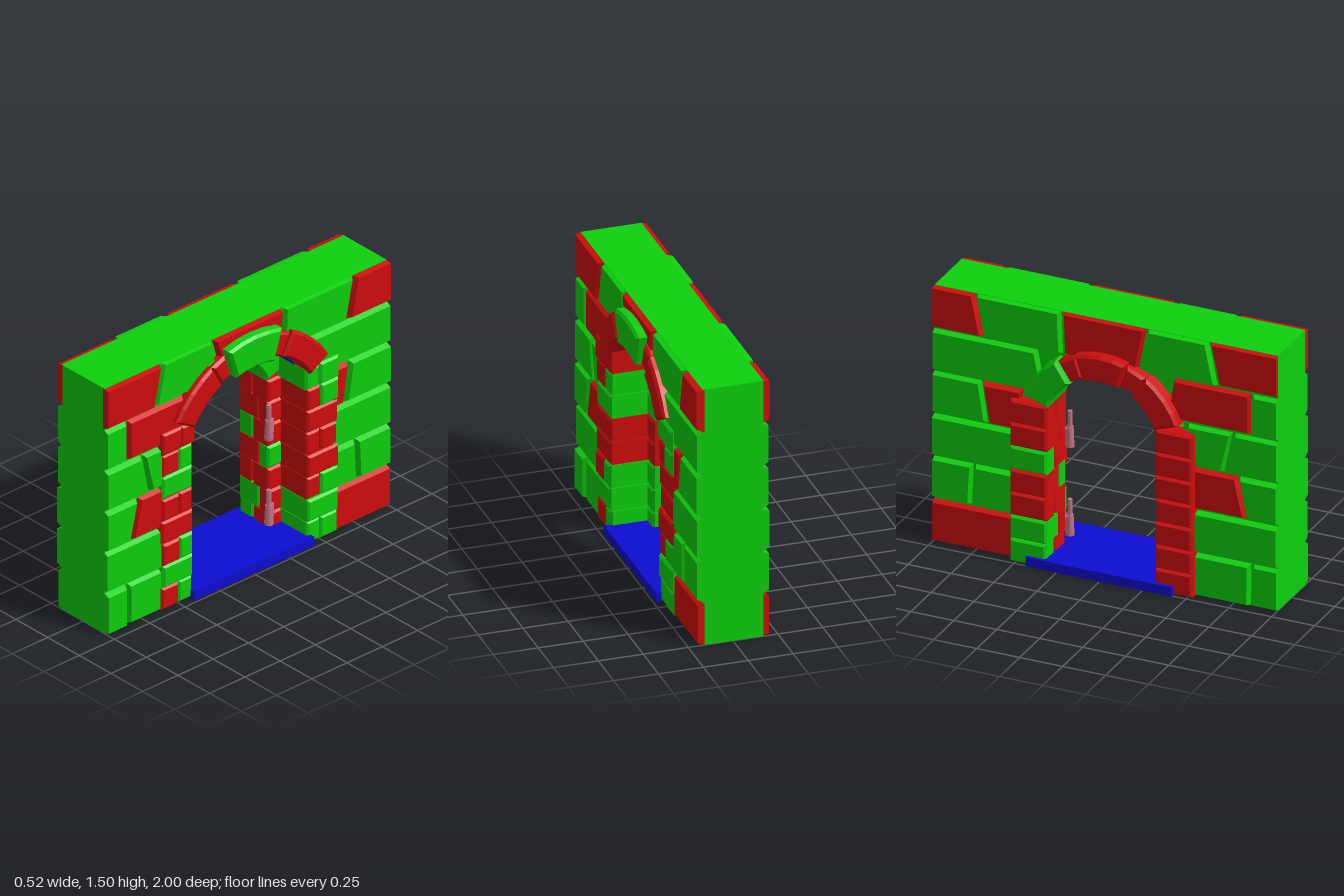
import * as THREE from 'three';

const mat = (name, color) => {
  const m = new THREE.MeshStandardMaterial({ color });
  m.name = name;
  return m;
};

export function createModel() {
  const model = new THREE.Group();
  model.name = 'archedGateWall';
  const M = {
    g: mat('greenStone', 0x0dd00d),
    r: mat('redStone', 0xd00d0d),
    b: mat('blueSlab', 0x0d0dd0),
    p: mat('pinkHinge', 0xc47484),
  };
  let seed = 7;
  const rand = () => (seed = (seed * 16807) % 2147483647) / 2147483647;

  const add = (parent, name, geo, key) => {
    const mesh = new THREE.Mesh(geo, M[key]);
    mesh.name = name;
    parent.add(mesh);
    return mesh;
  };
  const group = (name) => {
    const g = new THREE.Group();
    g.name = name;
    model.add(g);
    return g;
  };

  // Extrudes [z, y] points from x0 to x1, with chamfered edges
  const prism = (pts, x0, x1, bevel = 0.012) => {
    const shape = new THREE.Shape(pts.map(([z, y]) => new THREE.Vector2(-z, y)));
    const geo = new THREE.ExtrudeGeometry(shape, {
      depth: x1 - x0 - 2 * bevel, bevelEnabled: bevel > 0, bevelSegments: 1,
      bevelSize: bevel, bevelOffset: -bevel, bevelThickness: bevel,
    });
    return geo.translate(0, 0, x0 + bevel).rotateY(Math.PI / 2);
  };
  const rect = (z0, z1, y0, y1) => [[z0, y0], [z1, y0], [z1, y1], [z0, y1]];

  // Ring sector: degrees from vertical towards +z, around height cy
  const sector = (cy, r0, r1, a0, a1, n = 4) => {
    const pts = [];
    const at = (r, t) => {
      const a = THREE.MathUtils.degToRad(a0 + (a1 - a0) * t);
      pts.push([r * Math.sin(a), cy + r * Math.cos(a)]);
    };
    for (let i = 0; i <= n; i++) at(r0, i / n);
    for (let i = n; i >= 0; i--) at(r1, i / n);
    return pts;
  };

  // Wall core with the doorway cut out
  const arc = sector(0.83, 0.48, 0.48, -69, 69, 12).slice(0, 13);
  add(model, 'wallCore', prism([
    [-1, 0], [-0.45, 0], ...arc, [0.45, 0], [1, 0], [1, 1.5], [-1, 1.5],
  ], -0.17, 0.17, 0), 'g');

  // Face block: the outer side is inset to form grooves; inner joints lean a little
  const lean = (z) => (Math.abs(z) > 0.99 ? 0 : 0.025 * Math.sin(z * 37));
  const faceBlock = (parent, side, z0, z1, y0, y1, key) => {
    const out = 0.193 + rand() * 0.012;
    const geo = new THREE.BoxGeometry(1, 1, 1).toNonIndexed();
    const p = geo.attributes.position;
    for (let i = 0; i < p.count; i++) {
      const outer = p.getX(i) * side > 0, zHi = p.getZ(i) > 0, yHi = p.getY(i) > 0;
      const z = zHi ? z1 : z0;
      const inset = outer ? 0.02 : 0.002;
      const zi = Math.abs(z) > 0.99 ? 0 : inset;
      const yi = (yHi && y1 > 1.49) ? inset * 0.4 : (!yHi && y0 < 0.01) ? inset * 0.6 : inset;
      p.setXYZ(i, side * (outer ? out : 0.16),
        yHi ? y1 - (outer ? yi : 0) : y0 + (outer ? yi : 0),
        z + (zHi ? -zi : zi) + (yHi ? 1 : -1) * lean(z));
    }
    geo.computeVertexNormals();
    add(parent, 'faceBlock', geo, key);
  };

  // Courses from the ground up: [z0, z1, colour]; 'e' marks the doorway edge
  const courses = [
    [['e', 0.85, 'g'], [0.85, 1, 'g'], [-1, 'e', 'r']],
    [['e', 1, 'g'], [-0.77, 'e', 'g'], [-1, -0.77, 'g']],
    [['e', 0.8, 'r'], [0.8, 1, 'g'], [-1, 'e', 'g']],
    [['e', 0.72, 'g'], [0.72, 1, 'g'], [-0.7, 'e', 'r'], [-1, -0.7, 'g']],
    [['e', 0.85, 'r'], [0.85, 1, 'g'], [-1, 'e', 'g']],
    [[0.63, 1, 'r'], [0.22, 0.63, 'g'], [-0.25, 0.22, 'r'], [-0.73, -0.25, 'g'], [-1, -0.73, 'r']],
  ];
  for (const side of [1, -1]) {
    const face = group(side > 0 ? 'leftFace' : 'rightFace');
    courses.forEach((row, i) => {
      const edge = i === 4 ? (side > 0 ? 0.46 : 0.37) : (side > 0 ? 0.58 : 0.49);
      for (const [a, b, key] of row) {
        const low = side > 0 && a === -0.25 ? 1.33 : i * 0.25;
        faceBlock(face, side, a === 'e' ? edge : a, b === 'e' ? -edge : b, low, (i + 1) * 0.25, key);
      }
    });
  }

  // Stepped jambs; per row: outer stone(s) A and B, rebate stone C, far face stone D
  const jambs = {
    1: ['rggr', 'g-gr', 'rggr', 'r-rr', 'rrrr', 'g-gr', 'rggr'],
    [-1]: ['ggrg', 'g-rg', 'grrr', 'r-gr', 'rrrg', 'r-rr', 'grrr'],
  };
  const rowH = 0.95 / 7;
  for (const s of [1, -1]) {
    const jamb = group(s > 0 ? 'frontJamb' : 'backJamb');
    const stone = (za, zb, y0, y1, x0, x1, key) =>
      add(jamb, 'jambStone', prism(rect(...(s > 0 ? [za, zb] : [-zb, -za]), y0, y1), x0, x1), key);
    jambs[s].forEach((code, i) => {
      const y0 = i * rowH + 0.003, y1 = (i + 1) * rowH;
      const [A, B, C, D] = code;
      const x1 = 0.205 + rand() * 0.012, xm = i % 2 ? -0.08 : -0.13;
      const zIn = 0.31 + rand() * 0.008, zOut = 0.615 + rand() * 0.012;
      if (B === '-') stone(0.405, zOut, y0, y1, -0.02, x1, A);
      else {
        stone(0.5, zOut, y0, y1, 0.05, x1, A);
        stone(0.405, 0.5, y0, y1, -0.02, x1 - 0.004, B);
      }
      stone(zIn, 0.5, y0, y1, xm, 0, C);
      stone(zIn + 0.003, 0.53, y0, y1, -0.24, xm, D);
    });
    // Springer under the outer arch
    const key = s > 0 ? 'r' : 'g';
    stone(0.49, 0.625, 0.952, 1.085, 0.03, 0.218, key);
    stone(0.39, 0.49, 0.952, 1.08, -0.02, 0.214, key);
  }

  // Arch rings: [from, to, inner radius, outer radius, outermost x, colour]
  const outerArch = group('outerArch');
  for (const [a, b, r0, r1, x, key] of [
    [-17, 17, 0.46, 0.65, 0.26, 'g'],
    [17.5, 27, 0.47, 0.61, 0.222, 'r'], [-27, -17.5, 0.47, 0.61, 0.222, 'r'],
    [27.5, 60, 0.474, 0.625, 0.235, 'r'], [-60, -27.5, 0.474, 0.625, 0.235, 'r'],
  ]) add(outerArch, 'outerArchStone', prism(sector(0.816, r0, r1, a, b), 0.09, x, 0.015), key);

  const innerArch = group('innerArch');
  for (const [a, b, r0, r1, x, key] of [
    [-18, 18, 0.328, 0.478, -0.26, 'r'],
    [18.5, 33, 0.335, 0.465, -0.24, 'r'], [-33, -18.5, 0.335, 0.465, -0.24, 'r'],
    [33.5, 71, 0.328, 0.478, -0.252, 'r'], [-71, -33.5, 0.328, 0.478, -0.252, 'g'],
  ]) add(innerArch, 'innerArchStone', prism(sector(0.842, r0, r1, a, b), x, 0, 0.015), key);

  // Arch lining between the rings, and the threshold
  add(model, 'archLining', prism(sector(0.83, 0.462, 0.5, -68, 68, 12), -0.06, 0.12, 0), 'b');
  add(model, 'threshold', new THREE.BoxGeometry(0.495, 0.055, 0.85).translate(-0.0125, 0.0275, -0.005), 'b');

  // Hinge pins on the rebate corner
  for (const y of [0.09, 0.61]) {
    const hinge = group('hinge');
    hinge.position.set(0.02, y, -0.3);
    add(hinge, 'hingeCollar', new THREE.CylinderGeometry(0.025, 0.025, 0.02, 8).translate(0, 0.01, 0), 'p');
    add(hinge, 'hingeBarrel', new THREE.CylinderGeometry(0.02, 0.024, 0.1, 8).translate(0, 0.07, 0), 'p');
    add(hinge, 'hingePin', new THREE.CylinderGeometry(0.014, 0.014, 0.09, 8).translate(0, 0.165, 0), 'p');
    add(hinge, 'hingePlate', new THREE.BoxGeometry(0.02, 0.08, 0.04).translate(-0.012, 0.07, -0.02), 'p');
  }
  return model;
}
